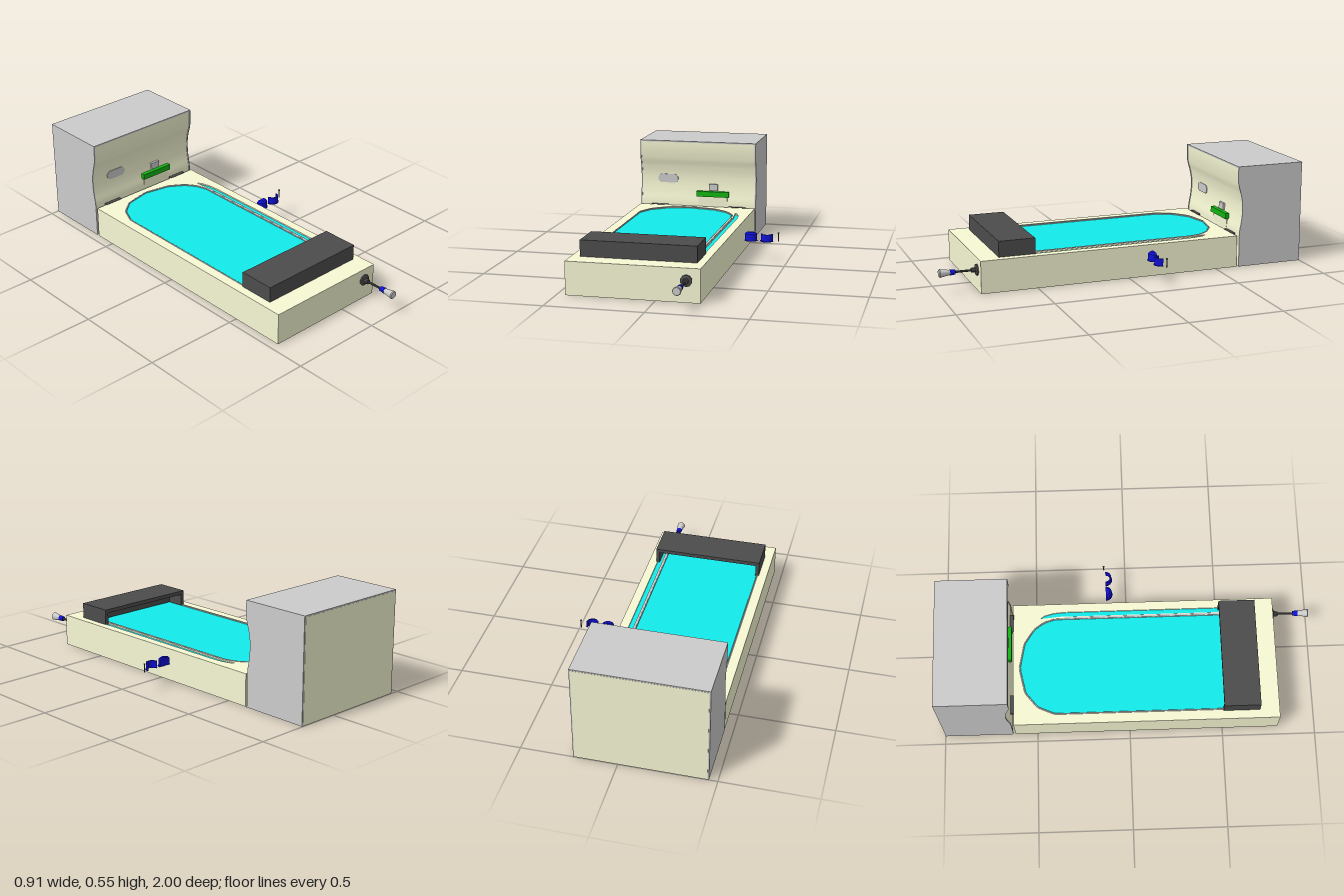
import * as THREE from 'three';
import { toCreasedNormals } from 'three/addons/utils/BufferGeometryUtils.js';

const mat = (color) => new THREE.MeshStandardMaterial({ color, side: THREE.DoubleSide });

export function createModel() {
  const model = new THREE.Group();
  const grey = mat(0xcccccc), cream = mat(0xf7f8d4), cyan = mat(0x12eaea);
  const dark = mat(0x4c4c4c), green = mat(0x12b412), blue = mat(0x1010d8);

  const add = (name, geo, material, parent = model) => {
    const mesh = new THREE.Mesh(geo, material);
    mesh.name = name;
    parent.add(mesh);
    return mesh;
  };
  const group = (name) => {
    const g = new THREE.Group();
    g.name = name;
    model.add(g);
    return g;
  };
  // Box given by its limits
  const box = (name, x0, x1, y0, y1, z0, z1, material, parent) =>
    add(name, new THREE.BoxGeometry(x1 - x0, y1 - y0, z1 - z0)
      .translate((x0 + x1) / 2, (y0 + y1) / 2, (z0 + z1) / 2), material, parent);
  // Plan outline from [x, z] pairs
  const plan = (pts) => pts.map(([x, z]) => new THREE.Vector2(x, -z));
  const slab = (shape, y0, y1) =>
    new THREE.ExtrudeGeometry(shape, { depth: y1 - y0, bevelEnabled: false, curveSegments: 12 })
      .rotateX(-Math.PI / 2).translate(0, y0, 0);

  // Cabinet with a shallow recessed playfield and shooter lane
  const cabinet = group('cabinet');
  const field = plan([[-0.4, 0.67], [-0.4, -0.4], [-0.36, -0.49], [-0.28, -0.555], [-0.14, -0.585],
    [0, -0.558], [0.08, -0.505], [0.12, -0.45], [0.138, -0.39], [0.138, 0.67]]);
  const lane = plan([[0.152, 0.67], [0.152, -0.36], [0.142, -0.47], [0.158, -0.45],
    [0.172, -0.4], [0.177, -0.34], [0.178, 0.67]]);
  const rim = new THREE.Shape(plan([[-0.455, 0.8], [0.225, 0.8], [0.225, -0.62], [-0.455, -0.62]]));
  rim.holes.push(new THREE.Path(field), new THREE.Path(lane));
  box('cabinetBody', -0.455, 0.225, 0, 0.158, -0.62, 0.8, cream, cabinet);
  add('cabinetTop', slab(rim, 0.158, 0.172), cream, cabinet);
  add('playfield', slab(new THREE.Shape(field), 0.157, 0.165), cyan, cabinet);
  add('shooterLane', slab(new THREE.Shape(lane), 0.157, 0.165), cyan, cabinet);
  box('laneDivider', 0.14, 0.149, 0.16, 0.174, -0.34, 0.67, grey, cabinet);

  // Thin guide rail round the playfield
  const rail = new THREE.CurvePath();
  field.slice(1).forEach((p, i) => rail.add(new THREE.LineCurve3(
    new THREE.Vector3(field[i].x, 0.171, -field[i].y), new THREE.Vector3(p.x, 0.171, -p.y))));
  add('guideRail', new THREE.TubeGeometry(rail, 120, 0.004, 5), grey, cabinet);

  // Apron housing, hollow and open toward the playfield
  const apron = group('apron');
  box('apronRoof', -0.41, 0.185, 0.235, 0.256, 0.5, 0.694, dark, apron);
  box('apronFront', -0.41, 0.185, 0.17, 0.236, 0.6, 0.694, dark, apron);
  for (const x of [-0.41, 0.165]) box('apronSide', x, x + 0.02, 0.17, 0.236, 0.5, 0.6, dark, apron);
  box('apronBase', -0.41, 0.185, -0.001, 0.1, 0.5, 0.694, dark, apron);

  // Back box: curved front panel between two side panels
  const backBox = group('backBox');
  const profile = (top, back, inset) => {
    const s = new THREE.Shape();
    s.moveTo(-back, 0);
    s.lineTo(-back, top);
    s.lineTo(0.62 + inset, top);
    s.lineTo(0.62 + inset, 0.47);
    s.splineThru([[0.626, 0.44], [0.638, 0.4], [0.647, 0.35], [0.648, 0.3], [0.643, 0.25],
      [0.634, 0.2], [0.632, 0.17]].map(([z, y]) => new THREE.Vector2(z + inset, y)));
    s.lineTo(0.632 + inset, 0);
    return s;
  };
  const sideExtrude = (shape, x0, x1) => toCreasedNormals(
    new THREE.ExtrudeGeometry(shape, { depth: x1 - x0, bevelEnabled: false, curveSegments: 24 })
      .rotateY(Math.PI / 2).translate(x0, 0, 0), 0.6);
  add('backBoxBody', sideExtrude(profile(0.544, -1, 0.003), -0.449, 0.221), cream, backBox);
  for (const x of [-0.456, 0.221])
    add('backBoxSide', sideExtrude(profile(0.55, -0.998, 0), x, x + 0.007), grey, backBox);
  box('backBoxRoof', -0.456, 0.228, 0.543, 0.551, -0.999, -0.62, grey, backBox);

  // Fittings on the front panel
  const pill = new THREE.Shape();
  pill.absarc(0.035, 0, 0.025, -Math.PI / 2, Math.PI / 2);
  pill.absarc(-0.035, 0, 0.025, Math.PI / 2, Math.PI * 1.5);
  add('ovalPlate', new THREE.ExtrudeGeometry(pill, { depth: 0.01, bevelEnabled: false })
    .translate(-0.295, 0.325, -0.657), grey, backBox);
  box('squareButton', -0.05, 0.003, 0.263, 0.3, -0.66, -0.638, grey, backBox);
  box('displayBar', -0.12, 0.07, 0.228, 0.259, -0.645, -0.622, green, backBox);
  box('displayMount', -0.11, 0.06, 0.18, 0.228, -0.645, -0.634, cream, backBox);
  for (const x of [-0.34, 0.12])
    box('hinge', x - 0.05, x + 0.05, 0.155, 0.174, -0.636, -0.616, dark, backBox);

  // Plunger: lathe pieces along z
  const plunger = group('plunger');
  const turn = (name, pts, sides, material) =>
    add(name, toCreasedNormals(new THREE.LatheGeometry(pts.map(([r, z]) => new THREE.Vector2(r, z)), sides)
      .rotateX(Math.PI / 2), 0.5), material, plunger);
  turn('plungerCollar', [[0, 0.79], [0.03, 0.79], [0.03, 0.808], [0.015, 0.812], [0.013, 0.832], [0, 0.832]], 10, dark);
  turn('plungerRod', [[0.006, 0.83], [0.006, 0.92]], 8, dark);
  turn('plungerSleeve', [[0, 0.915], [0.013, 0.915], [0.016, 0.943], [0, 0.943]], 12, blue);
  turn('plungerKnob', [[0, 0.943], [0.013, 0.943], [0.022, 0.995], [0.019, 1], [0, 1]], 16, grey);
  plunger.position.set(0.155, 0.11, 0);

  // Loose half-round buttons, curved toward the front
  const halfTurn = (pts, x, name) => {
    const g = new THREE.LatheGeometry(pts.map(([r, y]) => new THREE.Vector2(r, y)), 8, -Math.PI / 2, Math.PI);
    add(name, toCreasedNormals(g, 0.3).translate(x, 0.107, -0.11), blue);
  };
  halfTurn([[0, 0], [0.037, 0], [0.037, 0.003], [0.033, 0.003], [0.033, 0.038], [0.022, 0.047], [0, 0.048]],
    0.3, 'domedButton');
  const back = new THREE.Shape([[-0.033, 0], [0.033, 0], [0.033, 0.038], [0.022, 0.047], [-0.022, 0.047],
    [-0.033, 0.038]].map(([x, y]) => new THREE.Vector2(x, y)));
  add('domedButtonBack', new THREE.ShapeGeometry(back).translate(0.3, 0.107, -0.11), blue);
  halfTurn([[0.027, 0], [0.037, 0], [0.037, 0.003], [0.033, 0.003], [0.033, 0.04], [0.025, 0.04], [0.027, 0]],
    0.387, 'buttonRing');

  // Loose screw
  add('screwShank', new THREE.CylinderGeometry(0.003, 0.003, 0.046, 8).translate(0.448, 0.13, -0.118), dark);
  add('screwHead', new THREE.CylinderGeometry(0.006, 0.005, 0.004, 8).translate(0.448, 0.153, -0.118), dark);

  return model;
}
